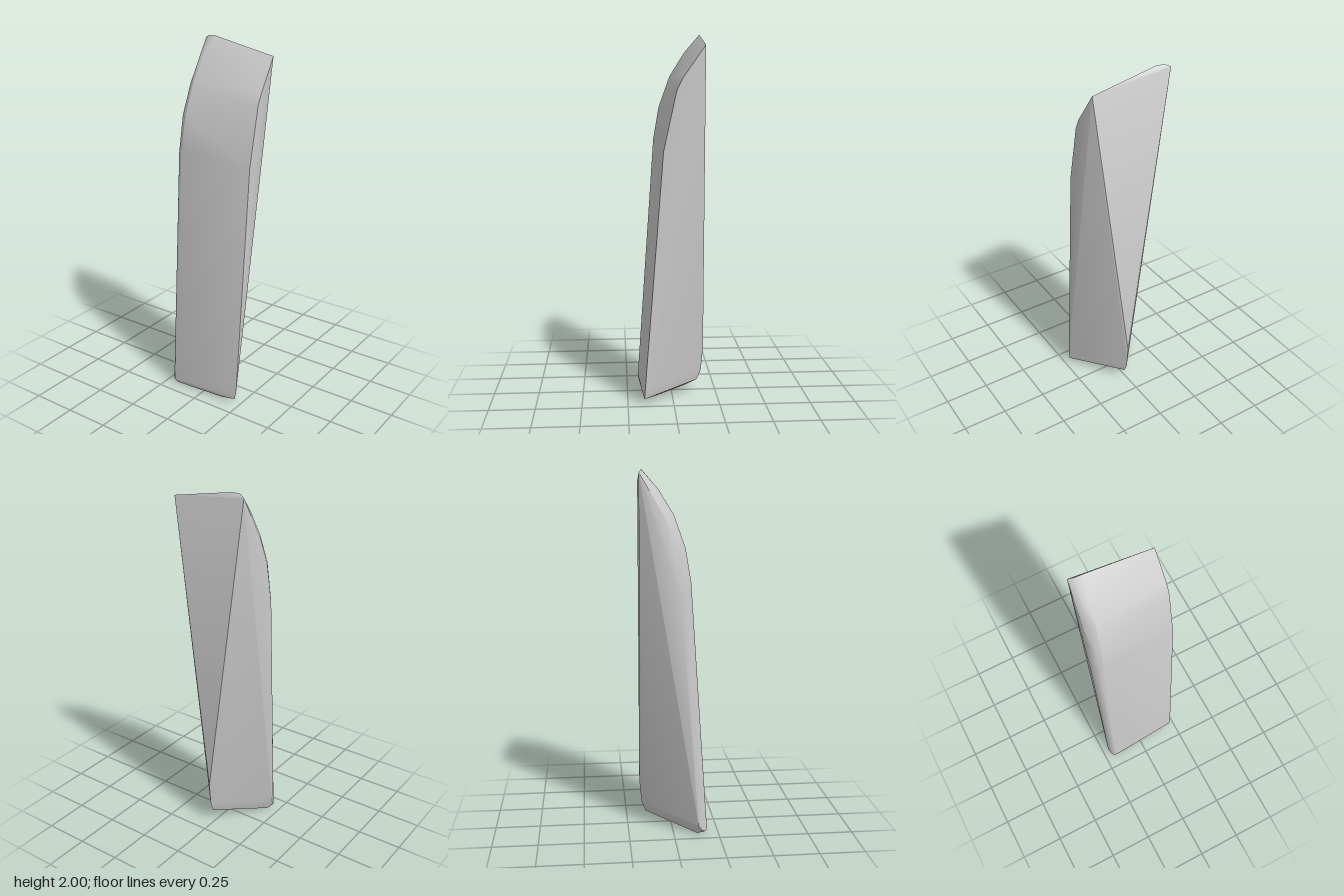
import * as THREE from 'three';
import { ConvexGeometry } from 'three/addons/geometries/ConvexGeometry.js';
import { toCreasedNormals } from 'three/addons/utils/BufferGeometryUtils.js';

export function createModel() {
  const group = new THREE.Group();
  group.name = 'stoneShard';
  const stone = new THREE.MeshStandardMaterial({ color: 0xcccccc });
  stone.name = 'stone grey';

  // sharp edge between the left side and the front, bottom to top
  const frontEdge = [
    [-0.16, 0.03, 0.22], [-0.157, 0.07, 0.227], [-0.055, 1.38, 0.232],
    [0.015, 1.7, 0.232], [0.045, 1.76, 0.232], [0.165, 1.93, 0.225],
  ];
  // left silhouette, then the rounded turn into the back
  const backEdge = [
    [-0.185, 0.03, -0.19], [-0.09, 1.42, -0.185], [-0.06, 1.6, -0.18],
    [0, 1.77, -0.17], [0.08, 1.9, -0.16], [0.165, 2.0, -0.14],
  ];
  const backBevel = [
    [-0.175, 0.02, -0.203], [-0.155, 0.03, -0.213], [-0.135, 0.06, -0.218],
    [-0.08, 1.4, -0.21], [-0.06, 1.37, -0.227], [-0.03, 1.36, -0.235],
    [-0.045, 1.6, -0.208], [-0.02, 1.58, -0.226],
    [0.015, 1.76, -0.2], [0.04, 1.74, -0.222], [0.09, 1.89, -0.195],
    [0.168, 1.998, -0.185], [0.183, 1.985, -0.215],
  ];
  // ridge on the right side, curving under at the foot
  const ridge = [
    [0.18, 0.26, 0.015], [0.168, 0.12, 0.015], [0.145, 0.065, 0.015], [0.08, 0.035, 0.015],
  ];
  const foot = [
    [-0.15, 0.003, 0.12], [-0.08, 0.005, 0.09], [-0.16, 0, -0.16], [-0.13, 0.005, -0.19],
    [-0.182, 0.012, -0.17],
  ];

  const points = [...frontEdge, ...backEdge, ...backBevel, ...ridge, ...foot]
    .map((p) => new THREE.Vector3(...p));
  const shard = new THREE.Mesh(toCreasedNormals(new ConvexGeometry(points), 0.55), stone);
  shard.name = 'shard';
  group.add(shard);
  return group;
}
